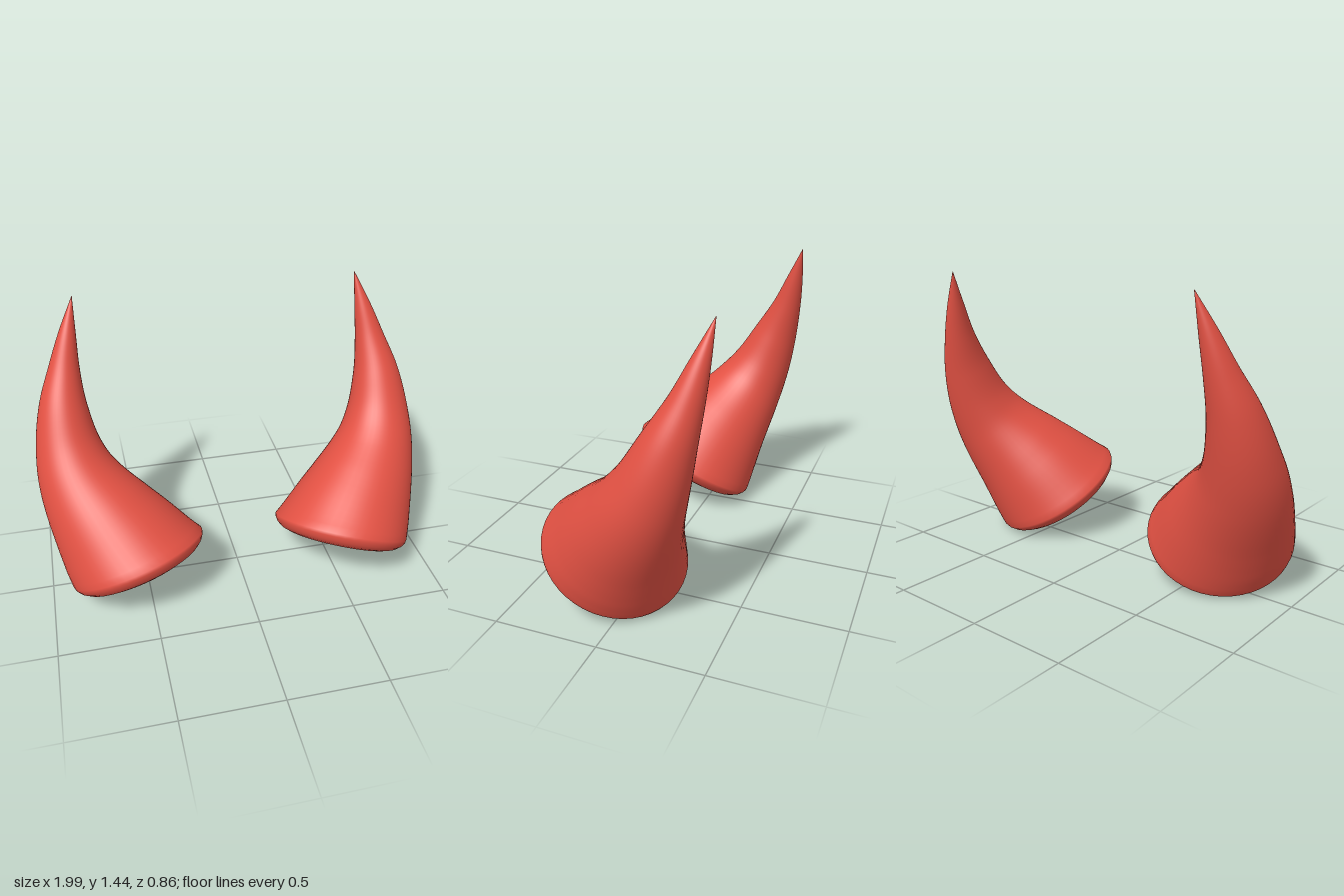
import * as THREE from 'three';

const SIDES = 48, STEPS = 48;
const BASE_AXIS = new THREE.Vector3(0.29, 0.85, -0.43).normalize();

// Centre line of the left horn, with the radius at each point
const PATH = [
  [0.55, 0.215, 0.107, 0.358], [0.685, 0.385, 0.0, 0.285], [0.785, 0.565, -0.11, 0.216],
  [0.826, 0.73, -0.195, 0.166], [0.828, 0.92, -0.27, 0.122], [0.8, 1.1, -0.335, 0.078],
  [0.763, 1.27, -0.383, 0.042], [0.72, 1.44, -0.427, 0.001],
];

// Rounded rim and shallow pointed underside: depth below the base, radius
const CAP = [[0.105, 0.0005], [0.088, 0.15], [0.07, 0.28], [0.058, 0.315], [0.038, 0.341], [0.016, 0.355]];

// Cross-sections from the underside up to the tip
function hornSections() {
  const points = PATH.map(([x, y, z]) => new THREE.Vector3(x, y, z));
  const radii = PATH.map((p) => new THREE.Vector3(p[3], 0, 0));
  const line = new THREE.CatmullRomCurve3(points, false, 'catmullrom');
  const width = new THREE.CatmullRomCurve3(radii, false, 'catmullrom');
  const sections = CAP.map(([depth, radius]) => ({
    centre: points[0].clone().addScaledVector(BASE_AXIS, -depth), axis: BASE_AXIS, radius,
  }));
  for (let i = 0; i <= STEPS; i++) {
    const t = i / STEPS;
    // The base plane turns smoothly into the direction of the centre line
    const axis = BASE_AXIS.clone().lerp(line.getTangent(t), THREE.MathUtils.smoothstep(t, 0, 0.2)).normalize();
    sections.push({ centre: line.getPoint(t), axis, radius: Math.max(width.getPoint(t).x, 0.0005) });
  }
  return sections;
}

// Skin the circular sections; side = 1 is left, -1 is the mirrored right
function hornGeometry(side) {
  const positions = [], index = [];
  const sections = hornSections();
  sections.forEach(({ centre, axis, radius }, row) => {
    const v = new THREE.Vector3(1, 0, 0).cross(axis).normalize();
    const u = v.clone().cross(axis).normalize();
    for (let j = 0; j < SIDES; j++) {
      const a = (j / SIDES) * Math.PI * 2;
      const p = centre.clone()
        .addScaledVector(v, radius * Math.cos(a))
        .addScaledVector(u, -radius * Math.sin(a));
      positions.push(p.x * side, p.y, p.z);
      if (row === sections.length - 1) continue;
      const k = (j + 1) % SIDES;
      const a0 = row * SIDES + j, b0 = row * SIDES + k;
      const a1 = a0 + SIDES, b1 = b0 + SIDES;
      if (side > 0) index.push(a0, b0, b1, a0, b1, a1);
      else index.push(a0, b1, b0, a0, a1, b1);
    }
  });
  const geometry = new THREE.BufferGeometry();
  geometry.setAttribute('position', new THREE.Float32BufferAttribute(positions, 3));
  geometry.setIndex(index);
  geometry.computeVertexNormals();
  return geometry;
}

export function createModel() {
  const group = new THREE.Group();
  group.name = 'horns';
  const red = new THREE.MeshStandardMaterial({ color: 0xe25143 });
  for (const [name, side] of [['leftHorn', 1], ['rightHorn', -1]]) {
    const horn = new THREE.Mesh(hornGeometry(side), red);
    horn.name = name;
    group.add(horn);
  }
  // Stand the horns on the ground
  group.position.y = -new THREE.Box3().setFromObject(group, true).min.y;
  return group;
}
